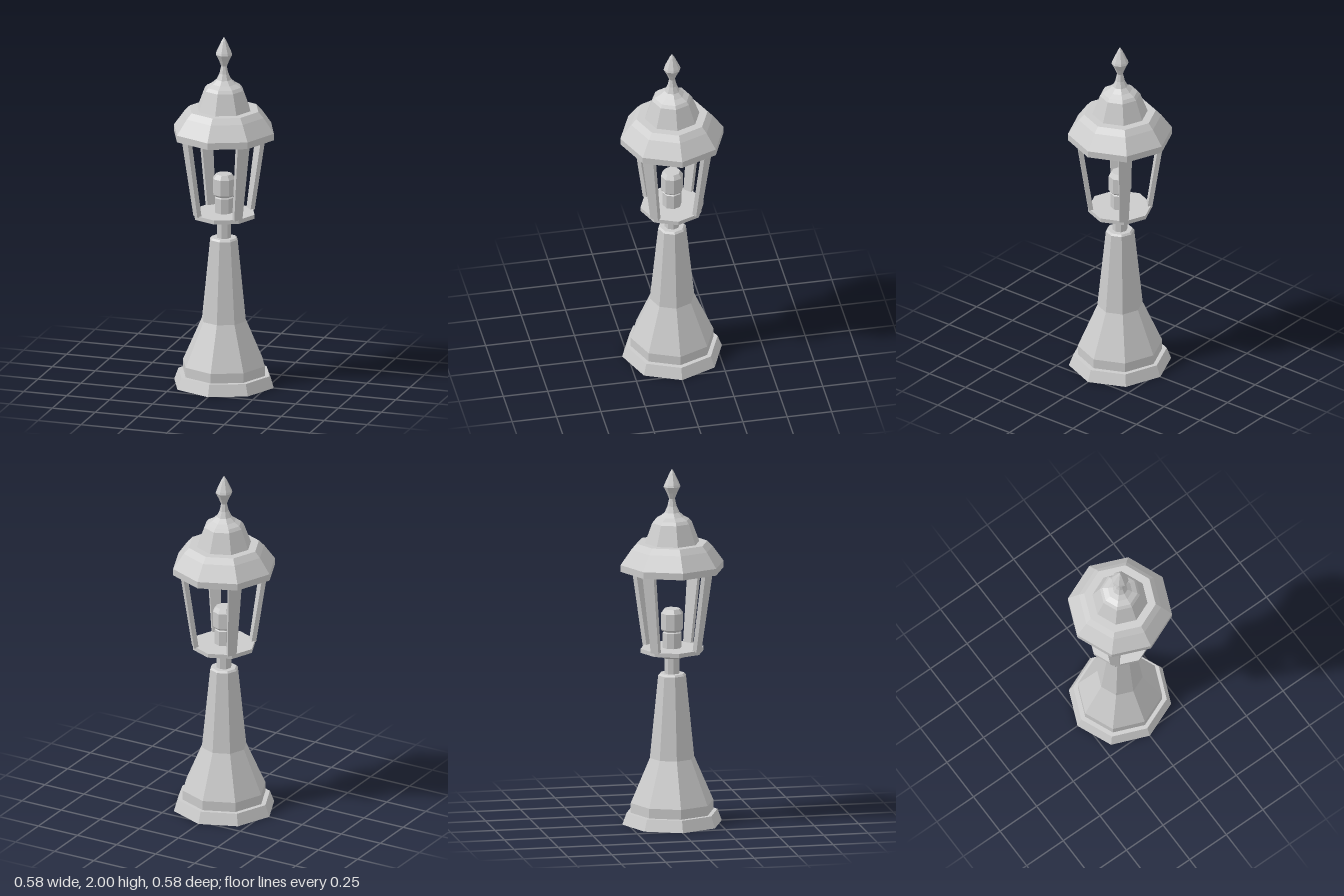
import * as THREE from 'three';

const SIDES = 8;

export function createModel() {
  const model = new THREE.Group();
  const metal = new THREE.MeshStandardMaterial({ color: 0xcccccc, flatShading: true });

  // Octagonal turned part; profile is [radius, height] from bottom to top
  function turned(name, profile) {
    const points = profile.map(([r, y]) => new THREE.Vector2(r, y));
    const mesh = new THREE.Mesh(new THREE.LatheGeometry(points, SIDES), metal);
    mesh.name = name;
    model.add(mesh);
    return mesh;
  }

  // Foot and tapering pedestal, a little narrower front to back
  turned('foot', [[0, 0], [0.29, 0], [0.265, 0.065], [0, 0.065]]).scale.z = 0.97;
  turned('pedestal', [
    [0.238, 0.06], [0.238, 0.12], [0.128, 0.37], [0.08, 0.835], [0.07, 0.845], [0, 0.845],
  ]).scale.z = 0.98;

  // Stem and the tray that carries the lantern
  turned('stem', [[0.042, 0.84], [0.042, 0.94]]);
  turned('tray', [
    [0, 0.935], [0.06, 0.935], [0.125, 0.963], [0.178, 0.967], [0.178, 0.99], [0, 0.99],
  ]);

  // Lamp socket and bulb
  turned('socket', [[0.053, 0.985], [0.053, 1.075], [0.045, 1.08], [0.045, 1.09]]);
  turned('bulb', [
    [0, 1.085], [0.055, 1.085], [0.063, 1.095], [0.063, 1.185], [0.045, 1.21], [0, 1.21],
  ]);

  // Four flat posts on the diagonals, leaning out and widening upward
  const postGeometry = new THREE.BoxGeometry(1, 1, 1);
  const p = postGeometry.attributes.position;
  for (let i = 0; i < p.count; i++) {
    const t = p.getY(i) + 0.5;
    p.setXYZ(
      i,
      p.getX(i) * THREE.MathUtils.lerp(0.05, 0.075, t),
      THREE.MathUtils.lerp(0.985, 1.44, t),
      THREE.MathUtils.lerp(0.164, 0.232, t) + p.getZ(i) * 0.026,
    );
  }
  postGeometry.computeVertexNormals();
  for (let i = 0; i < 4; i++) {
    const post = new THREE.Mesh(postGeometry, metal);
    post.name = 'post';
    post.rotation.y = Math.PI / 4 + (i * Math.PI) / 2;
    model.add(post);
  }

  // Roof skirt, cap and finial
  turned('roofSkirt', [
    [0, 1.43], [0.291, 1.43], [0.291, 1.468], [0.23, 1.553], [0.2, 1.585], [0.14, 1.585],
  ]);
  turned('roofCap', [
    [0.154, 1.585], [0.112, 1.698], [0.098, 1.715], [0.068, 1.732], [0.042, 1.755],
    [0.026, 1.79], [0.016, 1.835],
  ]);
  turned('finial', [
    [0.016, 1.83], [0.03, 1.865], [0.048, 1.9], [0.044, 1.912], [0.015, 1.975], [0, 2],
  ]);

  return model;
}
